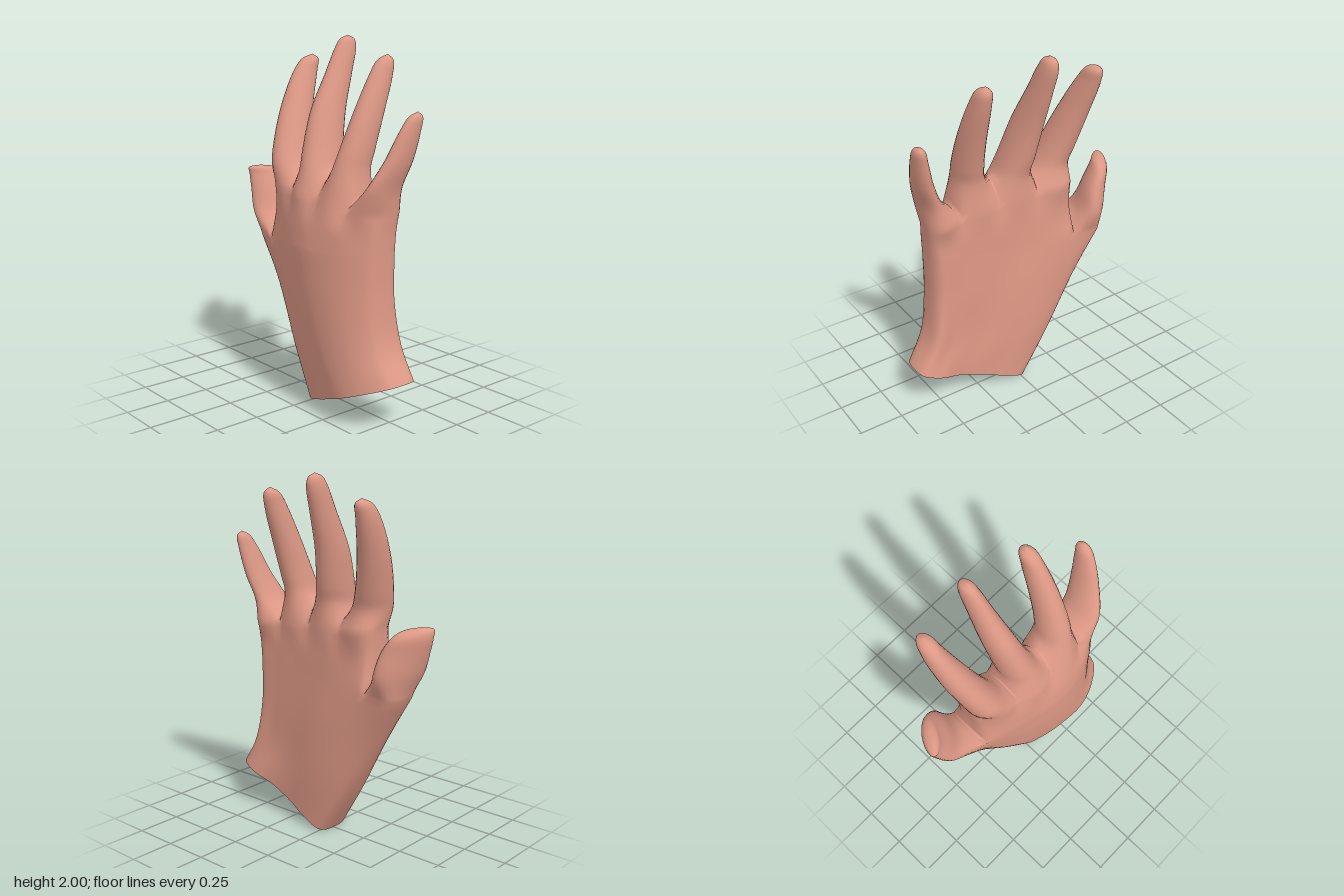
import * as THREE from 'three';
import { mergeVertices } from 'three/addons/utils/BufferGeometryUtils.js';

const S = 6;      // samples across one finger column (front or back)
const M = 6;      // samples across a side or a web
const STEPS = 5;  // rows between two key rings
const V = (x, y, z) => new THREE.Vector3(x, y, z);

// Ring of the hand: front row, right side, back row, left side.
// l and r are the [x, y] edges, us the column borders, front/back their z.
function handRing(l, r, us, front, back, bumpF = 0, bumpB = 0) {
  const n = us.length - 1;
  const at = (u, z) => V(l[0] + (r[0] - l[0]) * u, l[1] + (r[1] - l[1]) * u, z);
  const knots = [
    ...us.map((u, i) => at(u, front[i])),
    at(1, (front[n] + back[n]) / 2),
    ...us.map((u, i) => at(u, back[i])).reverse(),
    at(0, (front[0] + back[0]) / 2),
  ];
  const curve = new THREE.CatmullRomCurve3(knots, true);
  const points = [];
  knots.forEach((_, k) => {
    const isFront = k < n, isBack = k > n + 1 && k < 2 * n + 2;
    const count = isFront || isBack ? S : M / 2;
    for (let i = 0; i < count; i++) {
      const p = curve.getPoint((k + i / count) / knots.length);
      const swell = Math.sin(Math.PI * i / count);
      if (isFront) p.z += bumpF * swell;
      if (isBack) p.z -= bumpB * swell;
      points.push(p);
    }
  });
  return points;
}

// Divide a ring of n columns after column k; both halves share the web.
function splitRing(ring, n, k, webTop) {
  const backStart = n * S + M;
  const f = k * S, b = backStart + (n - k) * S;
  const ctrl = webTop.clone().multiplyScalar(2)
    .addScaledVector(ring[f], -0.5).addScaledVector(ring[b], -0.5);
  const web = new THREE.QuadraticBezierCurve3(ring[f], ctrl, ring[b])
    .getPoints(M).slice(1, -1);
  return [
    [...ring.slice(0, f + 1), ...web, ...ring.slice(b)],
    [...ring.slice(f, b + 1), ...web.slice().reverse()],
  ];
}

// Elliptical ring of a single finger, turned by yaw.
function fingerRing([x, y, z, rx, rz, yaw = 0]) {
  return Array.from({ length: 2 * (S + M) }, (_, j) => {
    const a = Math.PI * (0.75 - j / (S + M));
    const px = rx * Math.cos(a), pz = rz * Math.sin(a);
    return V(x + px * Math.cos(yaw) + pz * Math.sin(yaw), y,
      z - px * Math.sin(yaw) + pz * Math.cos(yaw));
  });
}

// Skin key rings with rows interpolated along the length.
function loft(rings, positions, indices) {
  const n = rings[0].length, rows = (rings.length - 1) * STEPS;
  const base = positions.length / 3;
  const curves = rings[0].map((_, j) => new THREE.CatmullRomCurve3(rings.map((r) => r[j])));
  for (let i = 0; i <= rows; i++) {
    for (let j = 0; j < n; j++) {
      const p = i % STEPS === 0 ? rings[i / STEPS][j] : curves[j].getPoint(i / rows);
      positions.push(p.x, p.y, p.z);
    }
  }
  for (let i = 0; i < rows; i++) {
    for (let j = 0; j < n; j++) {
      const a = base + i * n + j, b = base + i * n + (j + 1) % n;
      indices.push(a, b, b + n, a, b + n, a + n);
    }
  }
}

export function createModel() {
  const positions = [], indices = [];

  // Cuff and palm, thumb column included
  const u5 = [0.03, 0.19, 0.41, 0.63, 0.84, 0.98];
  const palm = [
    handRing([-0.03, 0.005], [0.64, 0.265], u5,
      [0.12, 0.18, 0.22, 0.235, 0.19, 0.11], [-0.09, -0.1, -0.07, -0.06, -0.08, -0.05]),
    handRing([-0.2, 0.27], [0.545, 0.43], u5,
      [0.09, 0.17, 0.225, 0.25, 0.215, 0.13], [-0.09, -0.12, -0.1, -0.06, -0.05, -0.05]),
    handRing([-0.39, 0.6], [0.51, 0.68], u5,
      [0.06, 0.15, 0.225, 0.262, 0.23, 0.14], [-0.09, -0.12, -0.11, -0.07, -0.05, -0.03]),
    handRing([-0.535, 0.86], [0.51, 0.92], u5,
      [0.08, 0.14, 0.21, 0.26, 0.23, 0.14], [-0.12, -0.12, -0.1, -0.07, -0.05, -0.03]),
  ];
  loft(palm, positions, indices);
  const [thumbBase, handBase] = splitRing(palm[3], 5, 1, V(-0.35, 0.93, 0.01));

  // Upper palm up to the knuckles
  const u4 = [0.02, 0.26, 0.53, 0.79, 0.98];
  const knuckles = handRing([-0.345, 1.2], [0.525, 1.13], u4,
    [0.09, 0.16, 0.18, 0.165, 0.11], [-0.08, -0.07, -0.05, -0.035, -0.04], 0.035, 0.025);
  loft([
    handBase,
    handRing([-0.34, 1.05], [0.515, 1.03], u4,
      [0.11, 0.195, 0.235, 0.22, 0.13], [-0.08, -0.09, -0.07, -0.05, -0.03]),
    knuckles,
  ], positions, indices);

  // Webs between the fingers
  const [indexBase, rest] = splitRing(knuckles, 4, 1, V(-0.125, 1.26, 0.04));
  const [middleBase, rest2] = splitRing(rest, 3, 1, V(0.12, 1.29, 0.06));
  const [ringBase, littleBase] = splitRing(rest2, 2, 1, V(0.355, 1.19, 0.07));

  // Fingers: x, y, z, half width, half depth, yaw
  const fingers = [
    [thumbBase, [
      [-0.492, 0.99, -0.03, 0.082, 0.145, -0.4], [-0.535, 1.12, -0.03, 0.064, 0.132, -0.6],
      [-0.57, 1.2, -0.02, 0.048, 0.112, -0.6], [-0.587, 1.235, 0.005, 0.032, 0.085, -0.6],
      [-0.595, 1.25, 0.02, 0, 0]]],
    [indexBase, [
      [-0.262, 1.3, 0.04, 0.102, 0.122], [-0.295, 1.4, 0.015, 0.09, 0.117],
      [-0.343, 1.6, -0.055, 0.075, 0.1], [-0.375, 1.8, -0.145, 0.051, 0.075],
      [-0.376, 1.865, -0.18, 0.035, 0.052], [-0.376, 1.89, -0.195, 0, 0]]],
    [middleBase, [
      [-0.012, 1.31, 0.04, 0.102, 0.125], [-0.03, 1.4, 0.015, 0.09, 0.122],
      [-0.058, 1.6, -0.045, 0.075, 0.108], [-0.073, 1.8, -0.132, 0.055, 0.084],
      [-0.081, 1.94, -0.19, 0.041, 0.065], [-0.082, 1.98, -0.2, 0.028, 0.044],
      [-0.082, 2.0, -0.205, 0, 0]]],
    [ringBase, [
      [0.248, 1.33, 0.055, 0.088, 0.11], [0.26, 1.42, 0.03, 0.078, 0.105],
      [0.27, 1.6, -0.035, 0.067, 0.092], [0.272, 1.8, -0.12, 0.049, 0.072],
      [0.27, 1.88, -0.155, 0.035, 0.048], [0.27, 1.91, -0.17, 0, 0]]],
    [littleBase, [
      [0.488, 1.26, 0.05, 0.062, 0.112], [0.542, 1.4, 0.005, 0.049, 0.09],
      [0.575, 1.55, -0.04, 0.037, 0.065], [0.587, 1.62, -0.065, 0.026, 0.042],
      [0.59, 1.645, -0.075, 0, 0]]],
  ];
  for (const [base, sections] of fingers) {
    loft([base, ...sections.map(fingerRing)], positions, indices);
  }

  // One seamless skin, open at the cuff
  let geometry = new THREE.BufferGeometry();
  geometry.setAttribute('position', new THREE.Float32BufferAttribute(positions, 3));
  geometry.setIndex(indices);
  geometry = mergeVertices(geometry, 1e-5);
  geometry.computeVertexNormals();
  const glove = new THREE.Mesh(geometry,
    new THREE.MeshStandardMaterial({ color: 0xdd9885, side: THREE.DoubleSide }));
  glove.name = 'glove';

  const group = new THREE.Group();
  group.name = 'gloveModel';
  group.add(glove);
  return group;
}
